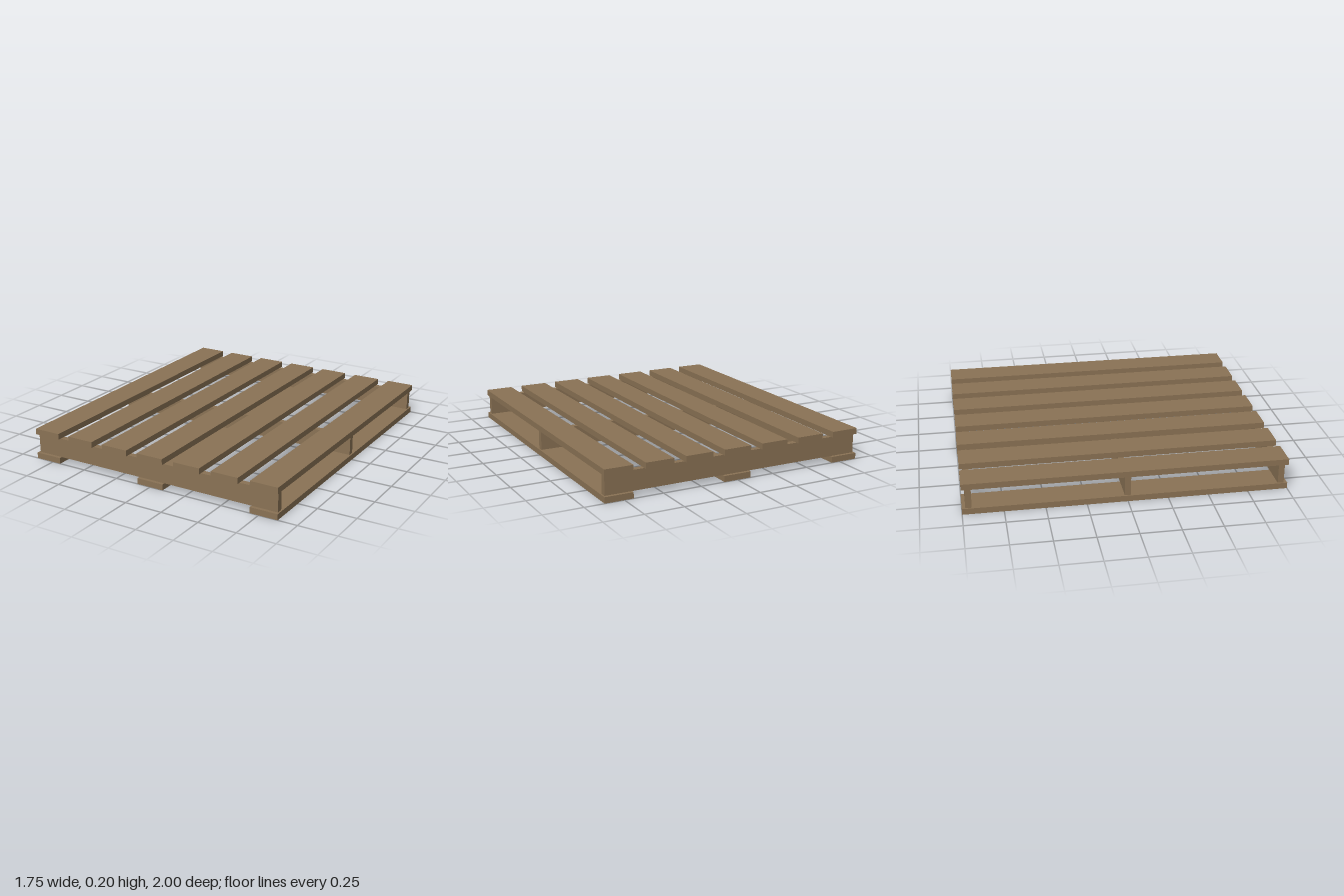
import * as THREE from 'three';

const BOARD_WIDTH = 0.182;
const THICKNESS = 0.038;
const STRINGER_HEIGHT = 0.126;
const OUTER_X = 0.783; // centre of the outermost boards

export function createModel() {
  const pallet = new THREE.Group();
  pallet.name = 'pallet';

  const wood = new THREE.MeshStandardMaterial({ color: 0x8b7355 });
  wood.name = 'wood';

  const boardGeometry = new THREE.BoxGeometry(BOARD_WIDTH, THICKNESS, 2);
  const stringerGeometry = new THREE.BoxGeometry(1.73, STRINGER_HEIGHT, THICKNESS);

  const add = (name, geometry, x, y, z) => {
    const mesh = new THREE.Mesh(geometry, wood);
    mesh.name = name;
    mesh.position.set(x, y, z);
    pallet.add(mesh);
  };

  // Three bottom boards running front to back
  for (let i = -1; i <= 1; i++) {
    add('bottomBoard', boardGeometry, i * OUTER_X, THICKNESS / 2, 0);
  }

  // Three upright stringers running side to side
  for (let i = -1; i <= 1; i++) {
    add('stringer', stringerGeometry, 0, THICKNESS + STRINGER_HEIGHT / 2, i * 0.96);
  }

  // Seven evenly spaced deck boards
  for (let i = -3; i <= 3; i++) {
    add('deckBoard', boardGeometry, (i * OUTER_X) / 3, THICKNESS * 1.5 + STRINGER_HEIGHT, 0);
  }

  return pallet;
}
